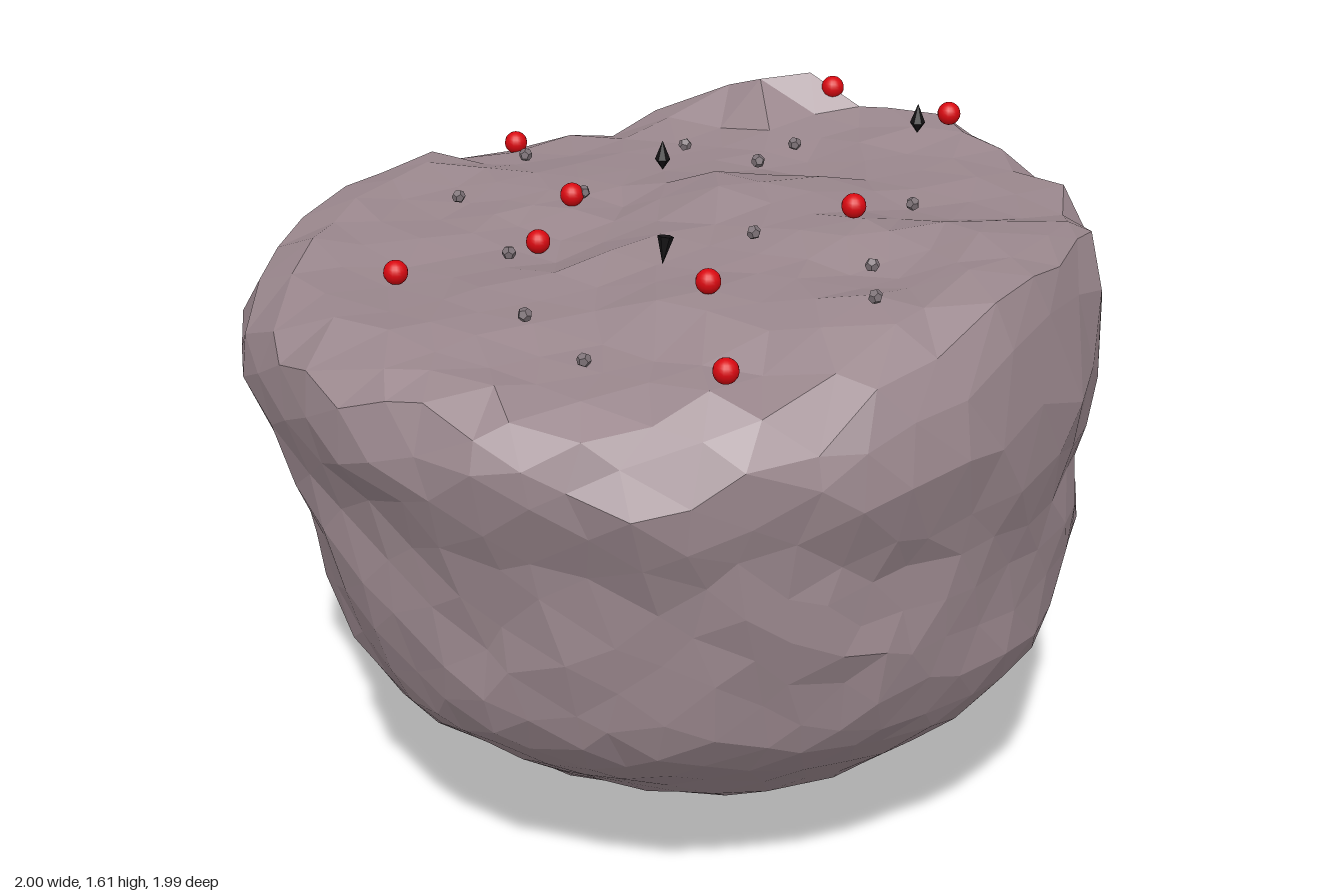
import * as THREE from 'three';
import { mergeVertices } from 'three/addons/utils/BufferGeometryUtils.js';

// Height samples of the upper surface: x, z, y
const HEIGHTS = [
  [0, 0.88, 1.42], [0.22, 0.84, 1.4], [0.48, 0.77, 1.37], [0.7, 0.62, 1.38], [0.86, 0.4, 1.47],
  [0.91, 0, 1.55], [0.75, -0.2, 1.56], [0.88, -0.35, 1.53], [0.72, -0.62, 1.49], [0.45, -0.83, 1.5],
  [0.2, -0.95, 1.54], [-0.25, -0.95, 1.61], [-0.46, -0.85, 1.54], [-0.7, -0.64, 1.41], [-0.8, -0.48, 1.41],
  [-0.9, -0.15, 1.45], [-0.9, 0.12, 1.45], [-0.82, 0.4, 1.44], [-0.62, 0.68, 1.43], [-0.3, 0.86, 1.43],
  [-0.12, -0.78, 1.47], [-0.38, -0.68, 1.45], [-0.72, -0.36, 1.41], [0.25, -0.75, 1.49], [-0.35, -0.07, 1.44],
  [0.41, -0.12, 1.54], [0.07, -0.25, 1.53], [-0.28, 0.17, 1.41], [0.3, 0.33, 1.49], [-0.44, 0.51, 1.41],
  [0.53, 0.6, 1.42], [0.69, 0.27, 1.52], [0.2, 0.66, 1.4], [0.58, 0.05, 1.5], [0.44, -0.4, 1.49],
  [-0.05, -0.55, 1.46], [-0.6, 0.05, 1.43], [-0.05, 0.45, 1.44], [-0.6, -0.2, 1.44], [0.05, 0.1, 1.48],
];

// Side levels from rim to base: u, y, xMin, xMax, zMax, zMin, how far the level follows the rim height
const LEVELS = [
  [0.3, 1.45, -0.9, 0.91, 0.88, -0.95, 1],
  [0.335, 1.38, -0.97, 0.95, 0.98, -0.98, 1],
  [0.39, 1.2, -1.0, 1.0, 1.0, -0.96, 0.2],
  [0.45, 1.0, -0.94, 0.95, 0.92, -0.95, 0],
  [0.52, 0.8, -0.85, 0.94, 0.9, -0.95, 0],
  [0.6, 0.55, -0.8, 0.91, 0.86, -0.95, 0],
  [0.67, 0.4, -0.74, 0.79, 0.72, -0.84, 0],
  [0.76, 0.2, -0.5, 0.57, 0.45, -0.61, 0],
  [0.86, 0.06, -0.28, 0.24, 0.13, -0.45, 0],
  [0.95, 0.0, -0.16, 0.0, -0.12, -0.34, 0],
  [1.0, 0.0, -0.11, -0.09, -0.24, -0.26, 0],
];
const RIM = LEVELS[0][0];

// Repeatable value in -1..1
function hash(i, k) {
  const s = Math.sin(i * 12.9898 + k * 78.233) * 43758.5453;
  return (s - Math.floor(s)) * 2 - 1;
}

// Inverse-distance blend of the height samples
function topY(x, z) {
  let sum = 0, weight = 0;
  for (const [px, pz, py] of HEIGHTS) {
    const w = 1 / Math.pow((x - px) ** 2 + (z - pz) ** 2 + 0.003, 2);
    sum += w * py;
    weight += w;
  }
  return sum / weight;
}

// Cross-section at u, blended between neighbouring levels
function levelAt(u) {
  let i = 0;
  while (i < LEVELS.length - 2 && u > LEVELS[i + 1][0]) i++;
  const a = LEVELS[i], b = LEVELS[i + 1];
  const t = THREE.MathUtils.clamp((u - a[0]) / (b[0] - a[0]), 0, 1);
  return a.map((n, k) => n + (b[k] - n) * t);
}

// Facetted boulder: a sphere whose upper part becomes the dished top and the rest the tapering sides
function rockGeometry() {
  let geo = new THREE.IcosahedronGeometry(1, 8);
  geo.deleteAttribute('normal');
  geo.deleteAttribute('uv');
  geo = mergeVertices(geo, 1e-4);
  const pos = geo.attributes.position;
  const p = new THREE.Vector3();
  for (let n = 0; n < pos.count; n++) {
    p.fromBufferAttribute(pos, n).normalize();
    const u = Math.acos(THREE.MathUtils.clamp(p.y, -1, 1)) / Math.PI + hash(n, 2) * 0.008;
    const angle = Math.atan2(p.x, p.z) + hash(n, 1) * 0.03;
    const [, y, xMin, xMax, zMax, zMin, follow] = levelAt(Math.max(u, RIM));
    // soft lumps plus a little roughness, and an outline slightly stretched along one diagonal
    const lump = 0.014 * Math.sin(4 * p.x + 7 * p.y + 1) * Math.sin(6 * p.z - 3 * p.y)
      + 0.012 * Math.sin(11 * p.x - 5 * p.z) * Math.cos(12 * p.y + 4 * p.z) + hash(n, 3) * 0.011;
    const r = Math.min(u / RIM, 1) * (1 + lump - 0.025 * Math.sin(2 * angle));
    const x = (xMin + xMax) / 2 + (xMax - xMin) / 2 * Math.sin(angle) * r;
    const z = (zMax + zMin) / 2 + (zMax - zMin) / 2 * Math.cos(angle) * r;
    const h = u <= RIM ? topY(x, z) + hash(n, 4) * 0.009 : y + follow * (topY(x, z) - LEVELS[0][1]);
    pos.setXYZ(n, x, h, z);
  }
  geo.computeVertexNormals();
  return geo;
}

export function createModel() {
  const model = new THREE.Group();
  const material = (color, flatShading) => new THREE.MeshStandardMaterial({ color, flatShading });
  const stone = material(0x9a878d, true);
  const red = material(0xd80810, false);
  const grey = material(0x7c7176, true);
  const black = material(0x141214, true);

  function add(name, geo, mat, x, y, z) {
    const mesh = new THREE.Mesh(geo, mat);
    mesh.name = name;
    mesh.position.set(x, y, z);
    model.add(mesh);
    return mesh;
  }

  add('boulder', rockGeometry(), stone, 0, 0, 0);

  // Red berries resting on the top
  const berryGeo = new THREE.SphereGeometry(0.029, 16, 12);
  [[-0.12, 1.55, -0.93], [0.25, 1.56, -0.88], [-0.76, 1.43, -0.4], [-0.35, 1.47, -0.07], [0.41, 1.58, -0.12],
    [-0.28, 1.44, 0.17], [0.3, 1.52, 0.33], [-0.44, 1.44, 0.51], [0.53, 1.465, 0.62],
  ].forEach((c) => add('berry', berryGeo, red, ...c));

  // Small scattered pebbles
  const pebbleGeo = new THREE.DodecahedronGeometry(0.017);
  [[-0.06, 1.49, -0.64], [-0.32, 1.47, -0.53], [-0.59, 1.485, -0.21], [0.07, 1.585, -0.25], [0.44, 1.52, -0.35],
    [-0.59, 1.46, 0.07], [0.58, 1.54, 0.09], [0.3, 1.575, 0.14], [0.69, 1.55, 0.27], [-0.21, 1.495, 0.38],
    [0.03, 1.49, 0.65], [0.2, 1.43, 0.67], [-0.33, 1.475, -0.09],
  ].forEach((c, i) => add('pebble', pebbleGeo, grey, ...c).rotation.set(i, i * 2, i * 3));

  // Dark pointed crystals, and one flat-topped shard pointing down
  const crystalGeo = new THREE.LatheGeometry(
    [[0, -0.036], [0.019, -0.008], [0, 0.04]].map(([x, y]) => new THREE.Vector2(x, y)), 6);
  add('crystal', crystalGeo, black, -0.25, 1.515, -0.32);
  add('crystal', crystalGeo, black, 0.22, 1.57, -0.77);
  add('shard', new THREE.ConeGeometry(0.019, 0.065, 6), black, 0.15, 1.545, 0.28).rotation.x = Math.PI - 0.2;

  return model;
}
